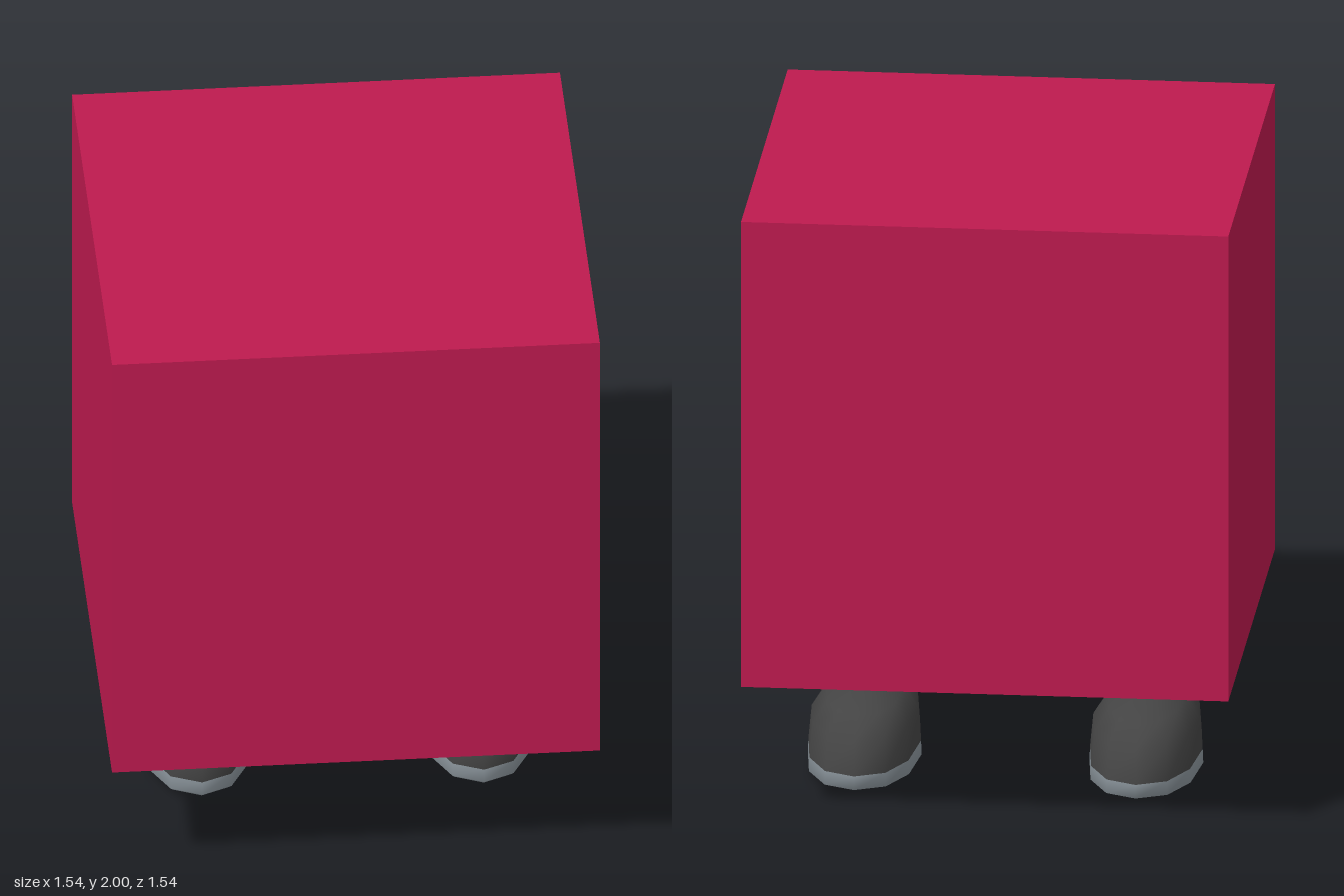
import * as THREE from 'three';

const SIDES = 12;

// Lofts oval rings [halfWidth, heelZ, toeZ, heelY, toeY], listed from bottom to top.
function loft(rings) {
  const pos = [], index = [];
  const round = (v) => Math.sign(v) * Math.abs(v) ** 0.9;
  for (const [w, heelZ, toeZ, heelY, toeY] of rings) {
    for (let i = 0; i < SIDES; i++) {
      const a = (i / SIDES) * Math.PI * 2;
      const t = (1 - round(Math.cos(a))) / 2; // 0 at the heel, 1 at the toe
      pos.push(
        w * round(Math.sin(a)),
        THREE.MathUtils.lerp(heelY, toeY, t),
        THREE.MathUtils.lerp(heelZ, toeZ, t)
      );
    }
  }
  for (let j = 0; j < rings.length - 1; j++) {
    for (let i = 0; i < SIDES; i++) {
      const k = (i + 1) % SIDES;
      const a = j * SIDES + i, b = j * SIDES + k;
      index.push(a, b, b + SIDES, a, b + SIDES, a + SIDES);
    }
  }
  const geo = new THREE.BufferGeometry();
  geo.setAttribute('position', new THREE.Float32BufferAttribute(pos, 3));
  geo.setIndex(index);
  geo.computeVertexNormals();
  return geo;
}

function addMesh(parent, name, geometry, color) {
  const mesh = new THREE.Mesh(geometry, new THREE.MeshStandardMaterial({ color, side: THREE.DoubleSide }));
  mesh.name = name;
  parent.add(mesh);
  return mesh;
}

export function createModel() {
  const model = new THREE.Group();
  model.name = 'cubeWithShoes';

  // Floating cube body
  const body = addMesh(model, 'body', new THREE.BoxGeometry(1.54, 1.54, 1.54), 0xbe1a4f);
  body.position.y = 1.23;

  // Sole: slightly domed underneath, with a short upright rim
  const sole = loft([
    [0, -0.06, -0.06, 0, 0],
    [0.12, 0.19, -0.31, 0.01, 0.006],
    [0.165, 0.26, -0.41, 0.018, 0.012],
    [0.18, 0.28, -0.44, 0.034, 0.02],
    [0.178, 0.28, -0.44, 0.08, 0.065],
  ]);

  // Upper: blunt heel, toe sloping down
  const upper = loft([
    [0.178, 0.28, -0.44, 0.08, 0.065],
    [0.169, 0.28, -0.412, 0.175, 0.175],
    [0.123, 0.22, -0.32, 0.249, 0.227],
    [0.06, 0.12, -0.17, 0.268, 0.263],
    [0, 0.03, 0.03, 0.276, 0.276],
  ]);

  for (const [name, x] of [['leftShoe', 0.445], ['rightShoe', -0.445]]) {
    const shoe = new THREE.Group();
    shoe.name = name;
    addMesh(shoe, 'sole', sole, 0x8c969d);
    addMesh(shoe, 'upper', upper, 0x444444);
    shoe.position.x = x;
    model.add(shoe);
  }
  return model;
}
